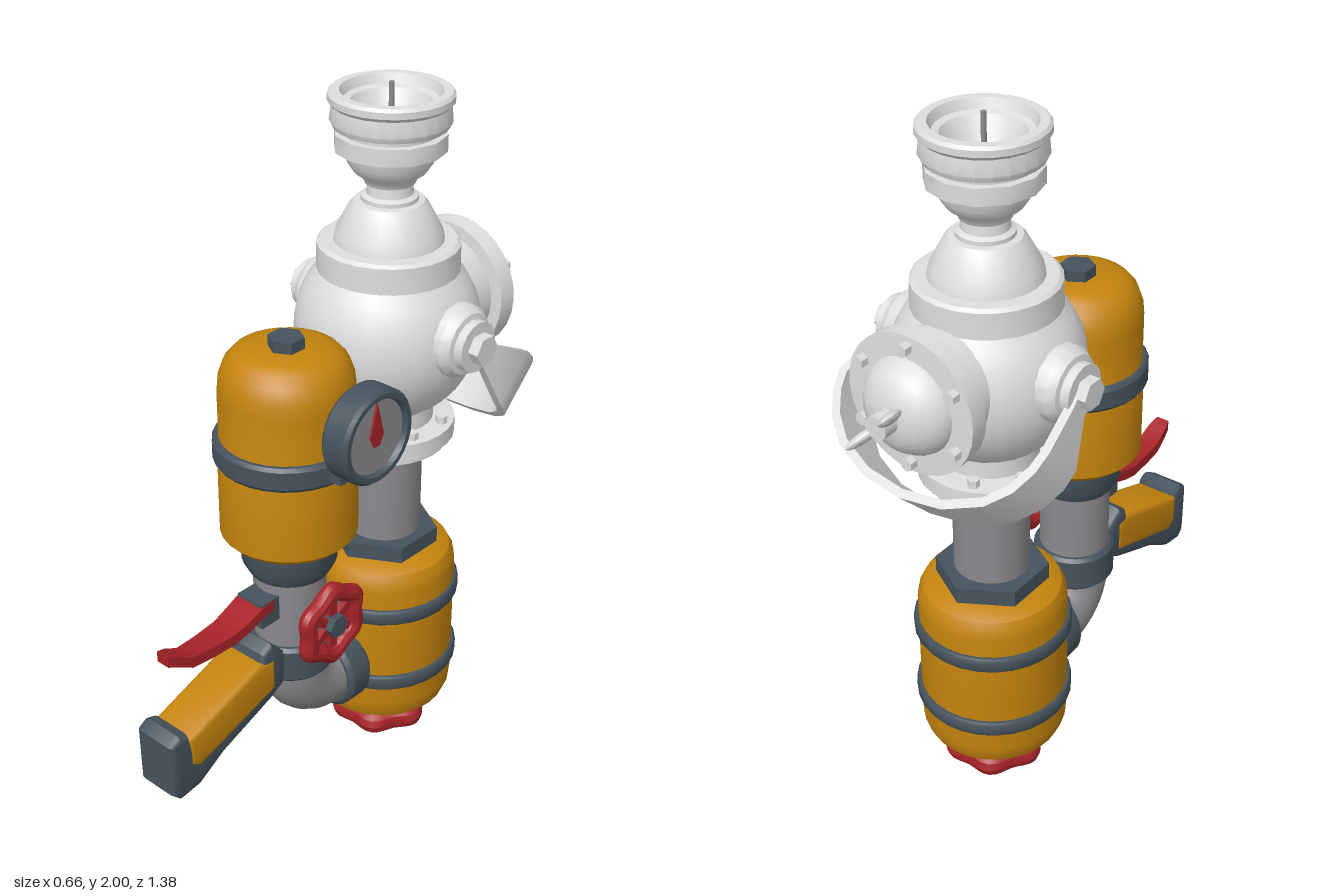
import * as THREE from 'three';
import { toCreasedNormals } from 'three/addons/utils/BufferGeometryUtils.js';

const mat = (name, color) => Object.assign(new THREE.MeshStandardMaterial({ color }), { name });
const COL = {
  white: mat('white paint', 0xdedede),
  yellow: mat('amber paint', 0xc4840d),
  slate: mat('slate rubber', 0x46535d),
  red: mat('valve red', 0xa62328),
  grey: mat('pipe grey', 0x8b898d),
};
const ZB = -0.22, ZF = 0.17; // axes of the rear and front columns

const lathe = (pts, seg = 28) =>
  new THREE.LatheGeometry(pts.map(([r, y]) => new THREE.Vector2(r, y)), seg);
const rod = (r, len, seg = 24) => new THREE.CylinderGeometry(r, r, len, seg).translate(0, len / 2, 0);
const alongX = (g, s = 1) => g.rotateZ(-s * Math.PI / 2);
const alongBack = (g) => g.rotateX(-Math.PI / 2);

// Extrude a (z, y) side profile, centred across x
function sideProfile(pts, width, bevel) {
  const g = new THREE.ExtrudeGeometry(new THREE.Shape(pts.map(([z, y]) => new THREE.Vector2(z, y))), {
    depth: width - 2 * bevel, bevelEnabled: true, bevelSize: bevel, bevelOffset: -bevel,
    bevelThickness: bevel, bevelSegments: 3,
  });
  return g.translate(0, 0, -(width - 2 * bevel) / 2).rotateY(-Math.PI / 2);
}

// Skin a row of four-cornered sections and cap both ends
function loft(sections) {
  const pos = [];
  const tri = (...p) => p.forEach((v) => pos.push(...v));
  const quad = (a, b, c, d) => { tri(a, b, c); tri(a, c, d); };
  for (let i = 0; i < sections.length - 1; i++) {
    const s = sections[i], n = sections[i + 1];
    for (let j = 0; j < 4; j++) quad(s[j], s[(j + 1) % 4], n[(j + 1) % 4], n[j]);
  }
  const s = sections[0], e = sections[sections.length - 1];
  quad(s[3], s[2], s[1], s[0]);
  quad(e[0], e[1], e[2], e[3]);
  const g = new THREE.BufferGeometry();
  g.setAttribute('position', new THREE.Float32BufferAttribute(pos, 3));
  return g;
}

export function createModel() {
  const root = new THREE.Group();
  root.name = 'waterPump';
  function add(name, geo, material, x = 0, y = 0, z = 0, parent = root) {
    const m = new THREE.Mesh(toCreasedNormals(geo, 0.6), material);
    m.name = name;
    m.position.set(x, y, z);
    parent.add(m);
    return m;
  }

  // Lobed hand wheel, lying in its own xz plane
  function handWheel(name, major, minor) {
    const g = new THREE.Group();
    g.name = name;
    const rim = new THREE.TorusGeometry(major, minor, 10, 48).rotateX(Math.PI / 2);
    const p = rim.attributes.position;
    for (let i = 0; i < p.count; i++) {
      const k = 1 + 0.07 * Math.cos(6 * Math.atan2(p.getZ(i), p.getX(i)));
      p.setXYZ(i, p.getX(i) * k, p.getY(i), p.getZ(i) * k);
    }
    add('wheelRim', rim, COL.red, 0, 0, 0, g);
    for (let i = 0; i < 6; i++) {
      const spoke = new THREE.BoxGeometry(major, minor * 0.7, 0.025).translate(major / 2, 0, 0);
      add('wheelSpoke', spoke.rotateY(i * Math.PI / 3), COL.red, 0, 0, 0, g);
    }
    add('wheelHub', rod(0.034, 0.05, 6), COL.slate, 0, -0.02, 0, g);
    root.add(g);
    return g;
  }

  // Rear column: wheel, lower tank, pipe
  handWheel('bottomWheel', 0.106, 0.035).position.set(0, 0.06, ZB);
  add('bottomStem', rod(0.028, 0.14, 12), COL.slate, 0, 0, ZB);
  add('bottomNut', rod(0.075, 0.04, 6), COL.slate, 0, 0.1, ZB);
  add('lowerTank', lathe([[0, 0.13], [0.155, 0.13], [0.19, 0.145], [0.203, 0.175], [0.206, 0.2], [0.206, 0.59],
    [0.203, 0.615], [0.19, 0.64], [0.155, 0.658], [0, 0.658]]), COL.yellow, 0, 0, ZB);
  for (const y of [0.26, 0.49]) {
    add('lowerTankBand', lathe([[0.2, y], [0.214, y], [0.219, y + 0.008], [0.219, y + 0.037],
      [0.214, y + 0.045], [0.2, y + 0.045]]), COL.slate, 0, 0, ZB);
  }
  add('tankTopNut', rod(0.155, 0.055, 6), COL.slate, 0, 0.65, ZB);
  add('rearPipe', rod(0.104, 0.32), COL.grey, 0, 0.69, ZB);

  // White head: flange, ball, stepped neck, nozzle cup
  add('headFlange', lathe([[0, 0.99], [0.17, 0.99], [0.17, 1.01], [0.19, 1.015], [0.19, 1.06], [0.13, 1.064],
    [0.13, 1.12], [0, 1.12]]), COL.white, 0, 0, ZB);
  for (let i = 0; i < 8; i++) {
    const a = (i + 0.5) * Math.PI / 4;
    add('flangeBolt', rod(0.016, 0.022, 6), COL.white, 0.16 * Math.sin(a), 1.06, ZB + 0.16 * Math.cos(a));
  }
  const ball = [[0, 1.105]];
  for (let i = 0; i <= 12; i++) {
    const a = -1.05 + i * 1.76 / 12;
    ball.push([0.252 * Math.cos(a), 1.335 + 0.252 * Math.sin(a) * 1.03]);
  }
  ball.push([0.19, 1.575], [0.18, 1.583], [0.146, 1.583], [0.14, 1.61], [0.105, 1.675], [0.092, 1.69],
    [0.075, 1.692], [0.075, 1.703], [0.062, 1.71], [0.058, 1.75], [0, 1.75]);
  add('headBall', lathe(ball, 24), COL.white, 0, 0, ZB);
  add('nozzleCup', lathe([[0, 1.738], [0.066, 1.738], [0.074, 1.755], [0.095, 1.77], [0.112, 1.795], [0.12, 1.83],
    [0.125, 1.87], [0.125, 1.885], [0.15, 1.89], [0.157, 1.905], [0.152, 1.945], [0.162, 1.955], [0.162, 1.972],
    [0.155, 1.98], [0.132, 1.98], [0.122, 1.955], [0.105, 1.95], [0.06, 1.87], [0, 1.865]], 24), COL.white, 0, 0, ZB);
  add('nozzleNut', rod(0.147, 0.045, 12), COL.white, 0, 1.828, ZB);
  add('nozzlePin', rod(0.007, 0.14, 8), COL.grey, 0, 1.86, ZB);

  // Pivots on both sides and the tilted strap
  for (const s of [1, -1]) {
    add('pivotBoss', alongX(lathe([[0, 0.2], [0.1, 0.2], [0.1, 0.25], [0.085, 0.272], [0.07, 0.275], [0.07, 0.3],
      [0, 0.3]], 16), s), COL.white, 0, 1.36, ZB - 0.01);
    add('pivotNut', alongX(rod(0.042, 0.04, 6), s), COL.white, s * 0.29, 1.36, ZB - 0.01);
  }
  // Half path: x, reach, half width
  const half = [[0.295, 0, 0.032], [0.298, 0.05, 0.032], [0.315, 0.18, 0.08], [0.305, 0.23, 0.083], [0.275, 0.29, 0.083],
    [0.22, 0.345, 0.083], [0.12, 0.39, 0.083]];
  const path = [...half, [0, 0.405, 0.083], ...half.map(([x, u, w]) => [-x, u, w]).reverse()];
  const strap = loft(path.map(([x, u, w], i) => {
    const a = path[Math.max(i - 1, 0)], b = path[Math.min(i + 1, path.length - 1)];
    const l = Math.hypot(b[0] - a[0], b[1] - a[1]);
    const nx = 0.012 * (b[1] - a[1]) / l, nu = -0.012 * (b[0] - a[0]) / l;
    return [[x - nx, u - nu, -w], [x - nx, u - nu, w], [x + nx, u + nu, w], [x + nx, u + nu, -w]];
  }));
  add('strap', strap.rotateX(-3 * Math.PI / 4), COL.white, 0, 1.36, ZB - 0.01);

  // Rear hatch with bolts, dome and wing nut
  const hatch = new THREE.Group();
  hatch.name = 'rearHatch';
  hatch.position.y = 1.36;
  root.add(hatch);
  add('hatchPlate', alongBack(lathe([[0, 0.36], [0.155, 0.36], [0.155, 0.47], [0.188, 0.472], [0.19, 0.525],
    [0.13, 0.528], [0.125, 0.545], [0.105, 0.575], [0.07, 0.598], [0.03, 0.607], [0, 0.608]])), COL.white, 0, 0, 0, hatch);
  for (let i = 0; i < 6; i++) {
    const a = (i + 0.5) * Math.PI / 3;
    add('hatchBolt', alongBack(rod(0.018, 0.03, 6)), COL.white, 0.16 * Math.cos(a), 0.16 * Math.sin(a), -0.52, hatch);
  }
  const wing = new THREE.Group();
  wing.name = 'wingNut';
  wing.rotation.z = -Math.PI / 4;
  hatch.add(wing);
  add('wingHub', alongBack(rod(0.032, 0.05, 12)), COL.white, 0, 0, -0.6, wing);
  for (const s of [1, -1]) {
    const ear = new THREE.SphereGeometry(1, 14, 10).scale(0.03, 0.014, 0.055).rotateY(-s * 0.65);
    add('wingEar', ear, COL.white, s * 0.058, 0, -0.645, wing);
  }

  // Front column: upper tank and pipework
  add('upperTank', lathe([[0, 0.86], [0.165, 0.86], [0.185, 0.88], [0.185, 1.13], [0.18, 1.15], [0.18, 1.29],
    [0.176, 1.33], [0.162, 1.37], [0.14, 1.395], [0.11, 1.408], [0, 1.41]]), COL.yellow, 0, 0, ZF);
  add('upperTankBand', lathe([[0.175, 1.095], [0.19, 1.095], [0.197, 1.105], [0.197, 1.155], [0.19, 1.165],
    [0.175, 1.165]]), COL.slate, 0, 0, ZF);
  add('topNut', rod(0.048, 0.045, 6), COL.slate, 0, 1.395, ZF);
  add('upperCollar', lathe([[0, 0.75], [0.112, 0.75], [0.13, 0.785], [0.13, 0.862], [0, 0.862]]), COL.slate, 0, 0, ZF);
  add('frontPipe', rod(0.1, 0.3), COL.grey, 0, 0.48, ZF);
  add('lowerCollar', lathe([[0, 0.435], [0.108, 0.435], [0.117, 0.445], [0.117, 0.535], [0.108, 0.545], [0, 0.545]]),
    COL.slate, 0, 0, ZF);
  add('elbow', new THREE.TorusGeometry(0.125, 0.102, 20, 14, Math.PI / 2).rotateZ(-Math.PI / 2).rotateY(-Math.PI / 2),
    COL.grey, 0, 0.45, 0.045);
  add('elbowCollar', alongBack(lathe([[0, 0], [0.11, 0], [0.122, 0.012], [0.122, 0.075], [0.11, 0.09], [0, 0.09]])),
    COL.slate, 0, 0.325, 0.048);

  // Side valve
  add('valveStem', alongX(rod(0.03, 0.12, 12)), COL.slate, 0.06, 0.635, ZF);
  const sideWheel = handWheel('sideWheel', 0.094, 0.026);
  sideWheel.rotation.z = -Math.PI / 2;
  sideWheel.position.set(0.158, 0.635, ZF + 0.005);

  // Pressure gauge
  add('gaugeStem', alongX(rod(0.036, 0.1, 12)), COL.slate, 0.15, 1.265, ZF);
  add('gaugeClip', new THREE.BoxGeometry(0.06, 0.04, 0.1), COL.slate, 0.2, 1.135, ZF);
  add('gaugeCase', alongX(lathe([[0, 0], [0.118, 0], [0.128, 0.012], [0.128, 0.075], [0.12, 0.085], [0.106, 0.085],
    [0.1, 0.068], [0, 0.068]])), COL.slate, 0.23, 1.265, ZF);
  add('gaugeFace', alongX(rod(0.101, 0.004)), COL.grey, 0.297, 1.265, ZF);
  const needle = new THREE.Shape([[-0.01, -0.025], [0.01, -0.025], [0.024, 0.005], [0, 0.095], [-0.024, 0.005]]
    .map(([x, y]) => new THREE.Vector2(x, y)));
  add('gaugeNeedle', new THREE.ExtrudeGeometry(needle, { depth: 0.006, bevelEnabled: false }).rotateY(Math.PI / 2),
    COL.red, 0.301, 1.265, ZF);

  // Trigger lever: z, y, half width
  add('leverMount', new THREE.BoxGeometry(0.09, 0.075, 0.08), COL.slate, 0, 0.675, 0.285);
  const lever = [[0.28, 0.695, 0.046], [0.32, 0.69, 0.048], [0.37, 0.67, 0.046], [0.42, 0.655, 0.042],
    [0.5, 0.652, 0.036], [0.565, 0.655, 0.031], [0.61, 0.68, 0.027], [0.64, 0.692, 0.02]];
  add('lever', loft(lever.map(([z, y, w]) =>
    [[-w, y - 0.016, z], [w, y - 0.016, z], [w, y + 0.016, z], [-w, y + 0.016, z]])), COL.red);

  // Pistol grip: dark frame with amber insert
  add('gripFrame', sideProfile([[0.26, 0.54], [0.26, 0.44], [0.31, 0.41], [0.5, 0.335], [0.59, 0.28], [0.66, 0.27],
    [0.685, 0.295], [0.688, 0.46], [0.655, 0.48], [0.625, 0.47], [0.6, 0.4], [0.37, 0.49], [0.345, 0.57],
    [0.31, 0.59]], 0.138, 0.018), COL.slate);
  add('gripInsert', sideProfile([[0.3, 0.44], [0.59, 0.345], [0.625, 0.365], [0.625, 0.452], [0.36, 0.548],
    [0.3, 0.54]], 0.144, 0.016), COL.yellow);

  return root;
}
